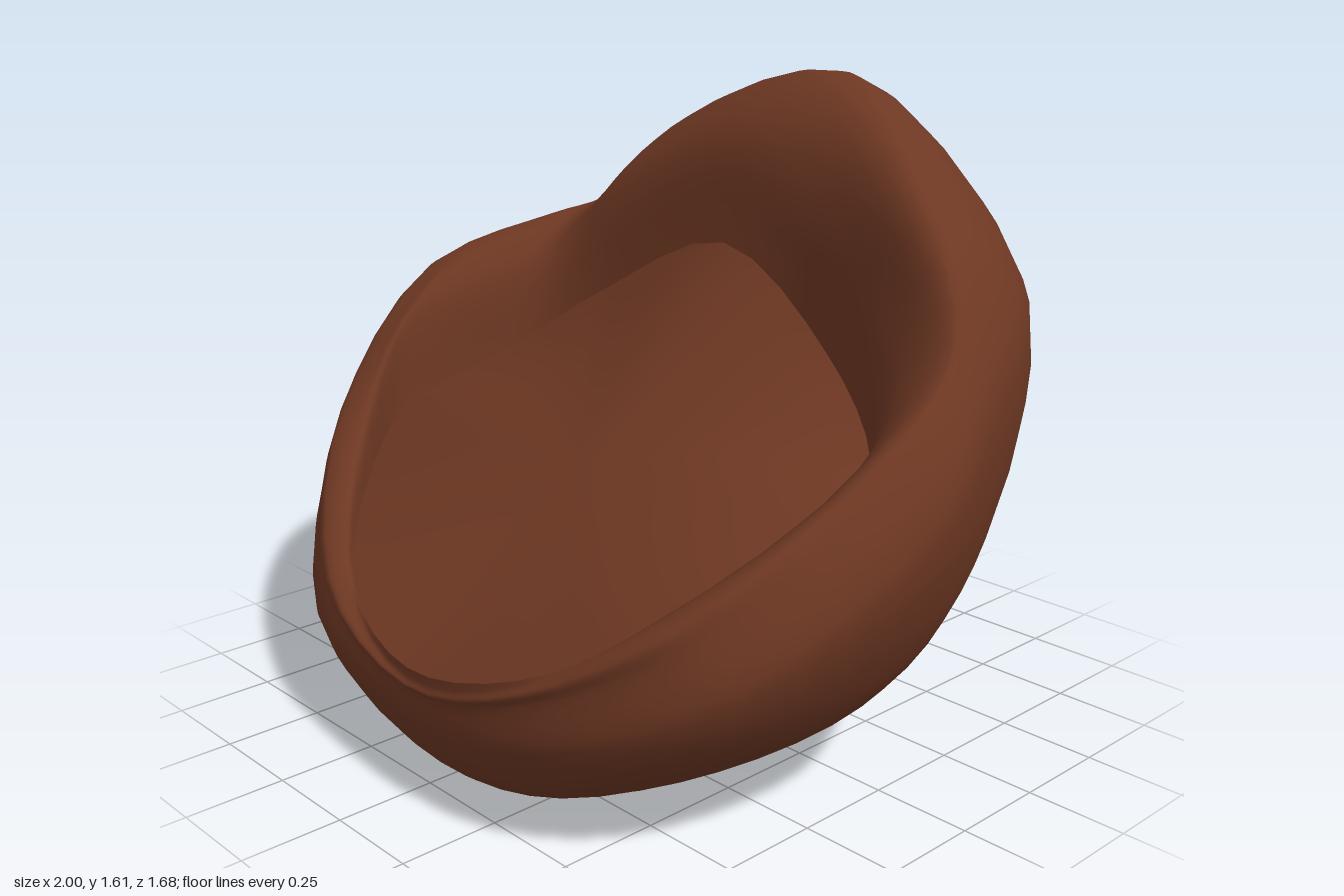
import * as THREE from 'three';
import { mergeVertices } from 'three/addons/utils/BufferGeometryUtils.js';

const STEPS = 56; // samples around every loop

// Closed smooth loop: front, left (+x), back, right (-x), back to front
function loop(...p) {
  const curve = new THREE.CatmullRomCurve3(p.map(q => new THREE.Vector3(...q)), true, 'centripetal');
  return Array.from({ length: STEPS }, (_, k) => curve.getPoint(k / STEPS));
}

// Seam where the seat meets the shell
const seam = loop([0.03, 0.33, 0.82], [0.42, 0.43, 0.81], [0.64, 0.55, 0.67], [0.8, 0.7, 0.22],
  [0.69, 0.8, 0], [0.45, 0.98, -0.12], [0.05, 1.19, -0.17], [-0.4, 1, -0.16], [-0.53, 0.92, -0.13],
  [-0.61, 0.86, -0.09], [-0.69, 0.79, -0.01], [-0.81, 0.66, 0.22], [-0.66, 0.52, 0.46], [-0.35, 0.38, 0.71]);
// Top of the front lip, arms and backrest
const crest = loop([0.03, 0.29, 0.83], [0.45, 0.41, 0.82], [0.74, 0.6, 0.67], [0.9, 0.92, 0.2],
  [0.88, 1.1, -0.02], [0.68, 1.38, -0.13], [0.2, 1.61, -0.39], [-0.35, 1.47, -0.48], [-0.57, 1.31, -0.5],
  [-0.67, 1.2, -0.4], [-0.74, 1.16, -0.27], [-0.87, 1.05, 0.02], [-0.83, 0.7, 0.41], [-0.42, 0.39, 0.735]);
// Widest outline, pinched beside the rounded end of the backrest
const belly = loop([0.03, 0.2, 0.815], [0.5, 0.28, 0.79], [0.85, 0.45, 0.57], [1, 0.73, 0.15],
  [0.95, 0.92, -0.1], [0.8, 1.12, -0.42], [0.2, 1.22, -0.76], [-0.45, 1.2, -0.82], [-0.68, 1.2, -0.68],
  [-0.7, 1.03, -0.51], [-0.8, 0.94, -0.37], [-1, 0.76, 0.1], [-0.87, 0.46, 0.43], [-0.5, 0.27, 0.73]);
// Lower flank
const flank = loop([0.02, 0.03, 0.7], [0.38, 0.08, 0.66], [0.7, 0.21, 0.46], [0.83, 0.32, 0.1],
  [0.8, 0.45, -0.2], [0.62, 0.58, -0.5], [0.1, 0.58, -0.7], [-0.4, 0.6, -0.66], [-0.58, 0.58, -0.53],
  [-0.68, 0.53, -0.4], [-0.75, 0.45, -0.25], [-0.83, 0.3, 0.08], [-0.73, 0.22, 0.4], [-0.4, 0.08, 0.63]);

// Blend two points with separate weights across the ground and in height
function blend(a, b, across, up) {
  return a.clone().lerp(b, across).setY(THREE.MathUtils.lerp(a.y, b.y, up));
}

// Skin closed rings, ordered from the inner top outward and down
function loft(rings) {
  const pos = [], idx = [];
  rings.forEach(r => r.forEach(p => pos.push(p.x, p.y, p.z)));
  for (let j = 0; j < rings.length - 1; j++) {
    for (let k = 0; k < STEPS; k++) {
      const n = (k + 1) % STEPS;
      const a = j * STEPS + k, b = a + STEPS, c = j * STEPS + n, d = c + STEPS;
      idx.push(a, b, c, c, b, d);
    }
  }
  const g = new THREE.BufferGeometry();
  g.setAttribute('position', new THREE.Float32BufferAttribute(pos, 3));
  g.setIndex(idx);
  const merged = mergeVertices(g, 1e-5); // one shared point at the pole
  merged.computeVertexNormals();
  return merged;
}

// Shell: each column curves from the seam over the crest and under to the base
function shellGeometry() {
  const pole = new THREE.Vector3(0, 0, 0.12), ROWS = 35;
  const columns = seam.map((s, k) => new THREE.CatmullRomCurve3([
    s,
    blend(s, crest[k], 0.22, 0.66),
    crest[k],
    blend(crest[k], belly[k], 0.45, 0.14),
    belly[k],
    flank[k],
    pole.clone().lerp(flank[k], 0.55).setY(flank[k].y * 0.2),
    pole,
  ], false, 'centripetal'));
  return loft(Array.from({ length: ROWS + 1 }, (_, j) => columns.map(c => c.getPoint(j / ROWS))));
}

// Seat: a sloping, slightly hollow surface that follows the seam at its edge
function seatGeometry() {
  const centre = new THREE.Vector3(0, 0, 0.29), ROWS = 10;
  const slope = z => 0.7 - 0.86 * (z - centre.z);
  return loft(Array.from({ length: ROWS + 1 }, (_, j) => {
    const t = j / ROWS;
    return seam.map(s => {
      const p = centre.clone().lerp(s, t);
      return p.setY(slope(p.z) + (s.y - slope(s.z)) * t * t);
    });
  }));
}

export function createModel() {
  const group = new THREE.Group();
  group.name = 'beanbagChair';
  const brown = new THREE.MeshStandardMaterial({ color: 0x6e3823 });
  brown.name = 'brown fabric';
  brown.side = THREE.DoubleSide;

  const shell = new THREE.Mesh(shellGeometry(), brown);
  shell.name = 'shell';
  const seat = new THREE.Mesh(seatGeometry(), brown);
  seat.name = 'seatCushion';
  group.add(shell, seat);

  // Rest on the ground, centred
  const box = new THREE.Box3().setFromObject(group);
  const mid = box.getCenter(new THREE.Vector3());
  [shell, seat].forEach(m => m.position.set(-mid.x, -box.min.y, -mid.z));
  return group;
}
